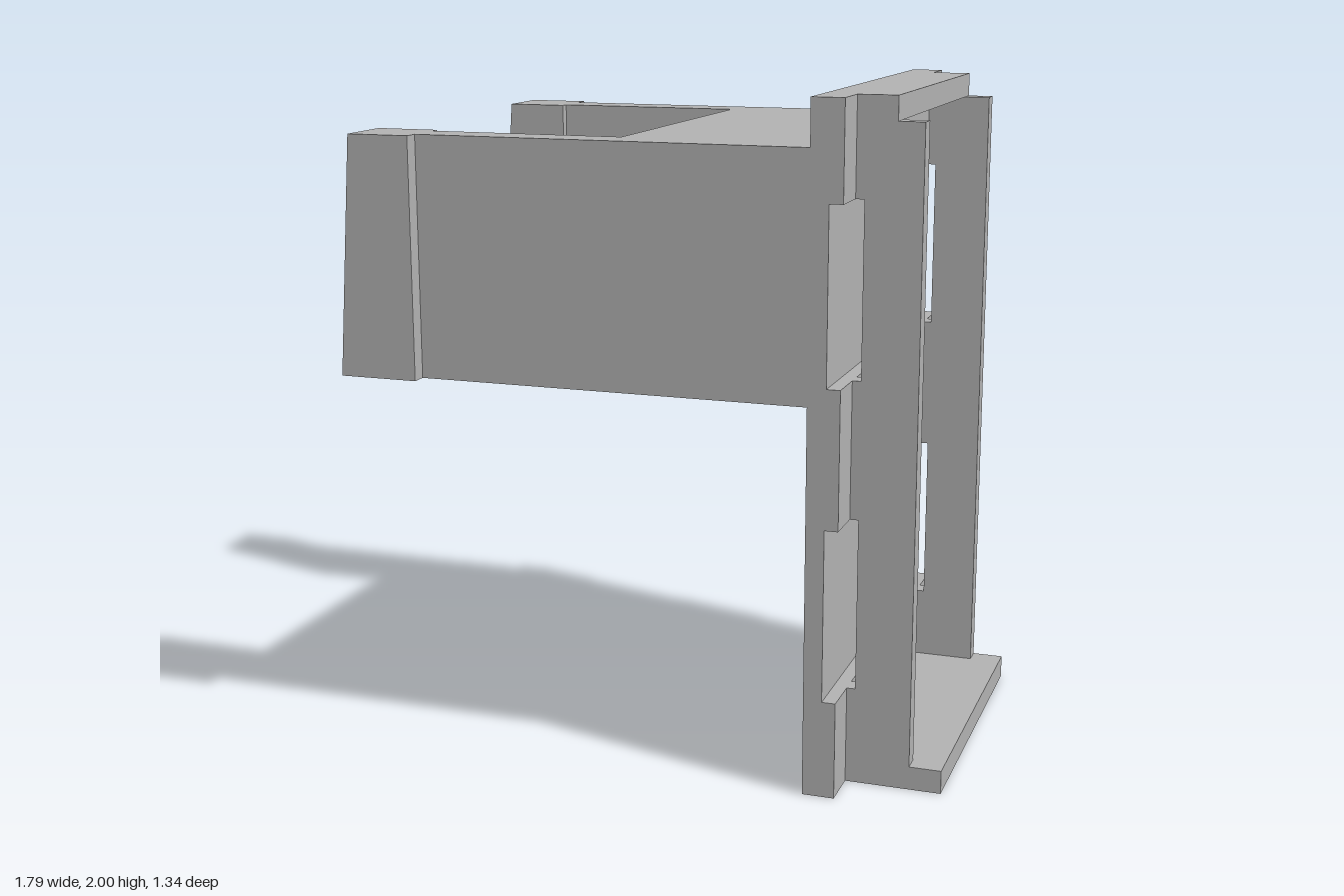
import * as THREE from 'three';

const ARM_BOTTOM = 1.15, ARM_TOP = 1.865;
const SLOTS = [[0.29, 0.8], [1.205, 1.715]];

export function createModel() {
  const group = new THREE.Group();
  const grey = new THREE.MeshStandardMaterial({ color: 0xb2b2b2 });

  const add = (name, geometry) => {
    const mesh = new THREE.Mesh(geometry, grey);
    mesh.name = name;
    group.add(mesh);
    return mesh;
  };

  // Box given by its limits on each axis
  const box = (name, x0, x1, y0, y1, z0, z1) => {
    const g = new THREE.BoxGeometry(x1 - x0, y1 - y0, z1 - z0);
    g.translate((x0 + x1) / 2, (y0 + y1) / 2, (z0 + z1) / 2);
    return add(name, g);
  };

  // Side profile (x, y) extruded between two z limits
  const profile = (name, points, z0, z1) => {
    const shape = new THREE.Shape(points.map(([x, y]) => new THREE.Vector2(x, y)));
    const g = new THREE.ExtrudeGeometry(shape, { depth: z1 - z0, bevelEnabled: false });
    g.translate(0, 0, z0);
    return add(name, g);
  };

  // Backplate with two wide channels cut across its outer face
  const platePoints = [[0.515, 0], [0.61, 0]];
  for (const [a, b] of SLOTS) platePoints.push([0.61, a], [0.57, a], [0.57, b], [0.61, b]);
  platePoints.push([0.61, 2], [0.515, 2]);
  profile('backplate', platePoints, -0.62, 0.62);

  // Tray side walls, notched where the channels pass through
  const wallPoints = [[0.61, 1.93]];
  for (const [a, b] of [...SLOTS].reverse()) {
    wallPoints.push([0.61, b], [0.635, b], [0.635, a], [0.61, a]);
  }
  wallPoints.push([0.61, 0.07], [0.8, 0.07], [0.8, 1.93]);
  profile('leftTrayWall', wallPoints, 0.435, 0.49);
  profile('rightTrayWall', wallPoints, -0.49, -0.435);

  // Tray sill and top rail
  box('traySill', 0.61, 0.895, 0, 0.07, -0.49, 0.49);
  box('trayTopRail', 0.61, 0.725, 1.93, 2, -0.49, 0.49);

  // Top shelf joining the arms
  box('shelf', -0.07, 0.515, ARM_TOP - 0.125, ARM_TOP, -0.505, 0.505);

  // End pad with two bores and a slanted end face
  const padGeometry = (z0, z1) => {
    const shape = new THREE.Shape([
      new THREE.Vector2(z0, ARM_BOTTOM), new THREE.Vector2(z1, ARM_BOTTOM),
      new THREE.Vector2(z1, ARM_TOP), new THREE.Vector2(z0, ARM_TOP),
    ]);
    for (const y of [1.26, 1.755]) {
      const hole = new THREE.Path();
      hole.absarc((z0 + z1) / 2, y, 0.046, 0, Math.PI * 2, true);
      shape.holes.push(hole);
    }
    const g = new THREE.ExtrudeGeometry(shape, { depth: 0.24, bevelEnabled: false, curveSegments: 24 });
    g.rotateY(-Math.PI / 2);
    g.translate(-0.66, 0, 0);
    const p = g.attributes.position;
    for (let i = 0; i < p.count; i++) {
      if (p.getX(i) < -0.8) {
        p.setX(i, p.getX(i) + 0.05 * (p.getY(i) - ARM_BOTTOM) / (ARM_TOP - ARM_BOTTOM));
      }
    }
    g.computeVertexNormals();
    return g;
  };

  // Arms and their pads, mirrored left and right
  for (const [side, s] of [['left', 1], ['right', -1]]) {
    const zs = (a, b) => (s > 0 ? [a, b] : [-b, -a]);
    box(side + 'Arm', -0.66, 0.515, ARM_BOTTOM, ARM_TOP, ...zs(0.505, 0.62));
    add(side + 'ArmPad', padGeometry(...zs(0.477, 0.668)));
  }

  return group;
}
